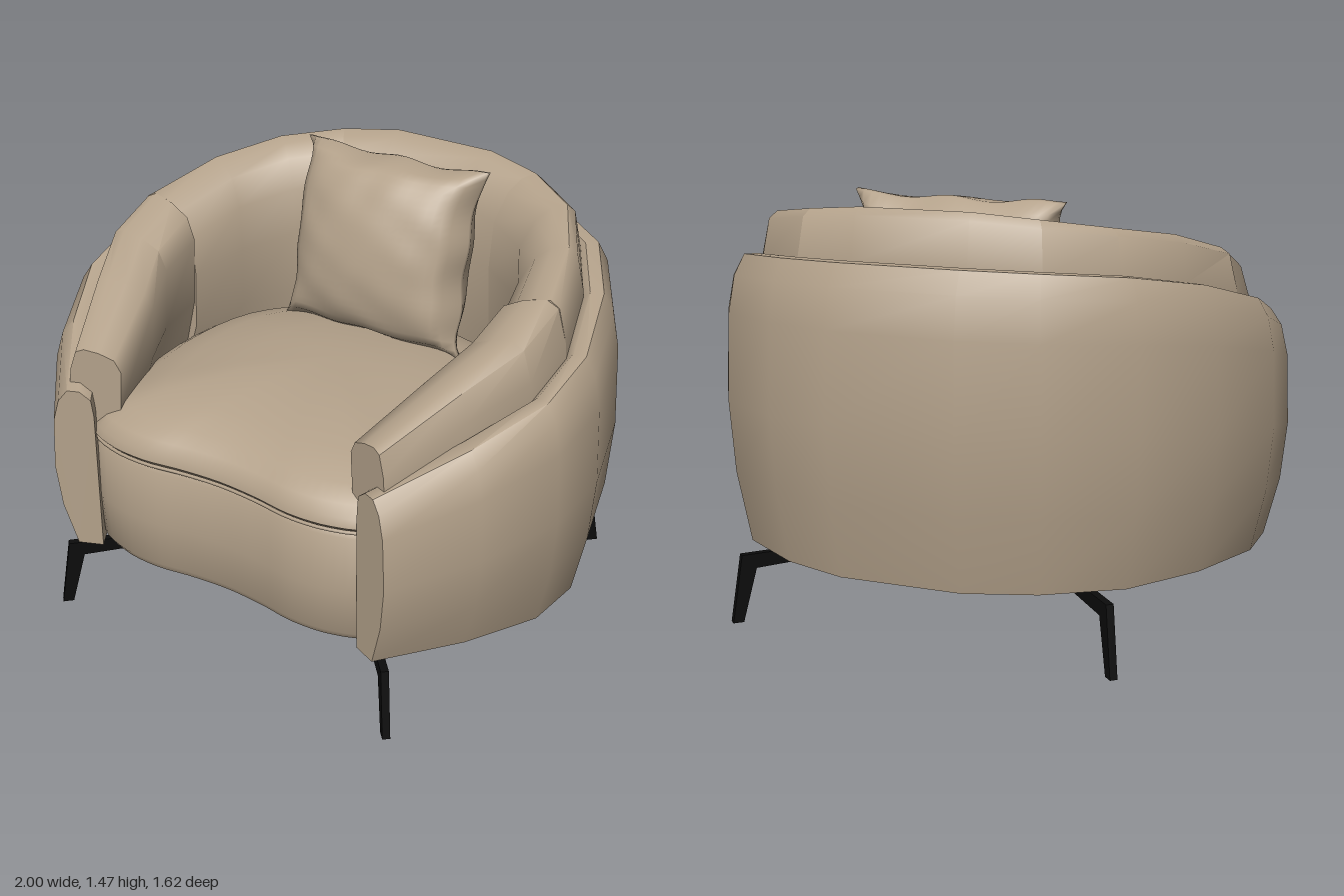
import * as THREE from 'three';
import { mergeVertices, toCreasedNormals } from 'three/addons/utils/BufferGeometryUtils.js';

const fabric = new THREE.MeshStandardMaterial({ color: 0xb3a18a });
fabric.name = 'beigeFabric';
const metal = new THREE.MeshStandardMaterial({ color: 0x0c0c0c });
metal.name = 'blackMetal';

// Skins a row of closed cross-sections, with optional end caps
function skin(rows, caps, crease = 0.8) {
  const n = rows[0].length, pos = [], idx = [];
  rows.forEach(r => r.forEach(p => pos.push(...p)));
  for (let s = 0; s < rows.length - 1; s++) {
    for (let p = 0; p < n; p++) {
      const q = (p + 1) % n, a = s * n, b = a + n;
      idx.push(a + p, b + p, b + q, a + p, b + q, a + q);
    }
  }
  if (caps) {
    const e = (rows.length - 1) * n;
    for (let k = 1; k < n - 1; k++) idx.push(0, k, k + 1, e, e + k + 1, e + k);
  }
  const g = new THREE.BufferGeometry();
  g.setAttribute('position', new THREE.Float32BufferAttribute(pos, 3));
  g.setIndex(idx);
  return toCreasedNormals(g, crease);
}

// Upright wall: station = [outerX, outerZ, innerX, innerZ, top], profile = [across, height]
function wall(stations, profile, bottom) {
  return skin(stations.map(([ox, oz, ix, iz, top]) => profile.map(([u, h]) =>
    [ox + (ix - ox) * u, bottom + (top - bottom) * h, oz + (iz - oz) * u])), true);
}
const mirrored = st => st.map(([a, b, c, d, e]) => [-a, b, -c, d, e]).reverse();

export function createModel() {
  const model = new THREE.Group();
  const add = (name, geometry, material = fabric) => {
    const mesh = new THREE.Mesh(geometry, material);
    mesh.name = name;
    model.add(mesh);
    return mesh;
  };

  // Outer wraparound shell
  const shell = [
    [0.67, 0.80, 0.53, 0.74, 0.85], [0.87, 0.56, 0.70, 0.47, 0.96],
    [0.99, 0.30, 0.83, 0.25, 1.05], [1.00, 0.06, 0.84, 0.06, 1.12],
    [0.90, -0.26, 0.75, -0.20, 1.20], [0.73, -0.54, 0.61, -0.43, 1.25],
    [0.47, -0.72, 0.41, -0.57, 1.27], [0.22, -0.81, 0.20, -0.64, 1.28],
  ];
  const shellProfile = [[0.42, 0], [0.12, 0.25], [0, 0.5], [0.06, 0.8], [0.2, 0.93],
    [0.42, 1], [0.7, 1], [0.95, 0.95], [1, 0.85], [1, 0]];
  add('outerShell', wall([...shell, ...mirrored(shell)], shellProfile, 0.255));

  // Inner padding: two flat-topped arm pads, then side and back pads with a sloped inner face
  const pad = [
    [0.63, 0.74, 0.46, 0.67, 0.99], [0.76, 0.48, 0.54, 0.40, 1.12],
    [0.86, 0.26, 0.60, 0.25, 1.21], [0.87, 0.06, 0.61, 0.08, 1.28],
    [0.78, -0.22, 0.56, -0.13, 1.35], [0.64, -0.46, 0.46, -0.31, 1.39],
    [0.43, -0.60, 0.31, -0.40, 1.42], [0.20, -0.66, 0.17, -0.44, 1.44],
  ];
  const armProfile = [[0, 0], [0, 0.6], [0.04, 0.8], [0.16, 0.97], [0.32, 1], [0.6, 0.975],
    [0.88, 0.92], [1, 0.81], [0.95, 0.45], [0.65, 0]];
  const backProfile = [[0, 0], [0, 0.6], [0.04, 0.8], [0.15, 0.97], [0.27, 1], [0.5, 0.985],
    [0.72, 0.935], [0.94, 0.81], [1, 0.6], [0.96, 0.3], [0.7, 0]];
  const arm = pad.slice(0, 4), side = pad.slice(3, 7), back = pad.slice(6);
  const padPiece = (name, stations, profile) => add(name, wall(stations, profile, 0.6));
  padPiece('leftArmPad', arm, armProfile);
  padPiece('rightArmPad', mirrored(arm), armProfile);
  padPiece('leftSidePad', side, backProfile);
  padPiece('rightSidePad', mirrored(side), backProfile);
  padPiece('backPad', [...back, ...mirrored(back)], backProfile);

  // Seat plan with a softly waved front edge
  const half = [[0, 0.745], [0.15, 0.755], [0.3, 0.775], [0.45, 0.76], [0.57, 0.70],
    [0.64, 0.45], [0.68, 0.1], [0.62, -0.2], [0.42, -0.42], [0.2, -0.5], [0, -0.52]];
  const plan = [...half, ...half.slice(1, -1).reverse().map(([x, z]) => [-x, z])];
  const curve = new THREE.CatmullRomCurve3(plan.map(([x, z]) => new THREE.Vector3(x, 0, z)), true);
  const outline = curve.getPoints(72);
  const rings = profile => skin(outline.map(p => profile.map(([s, y]) =>
    [p.x * s, y, 0.1 + (p.z - 0.1) * s])), false, 0.9);
  add('seatBase', rings([[0, 0.262], [0.96, 0.262], [0.985, 0.29], [0.995, 0.45],
    [0.99, 0.65], [0.97, 0.67], [0, 0.67]]));
  add('seatCushion', rings([[0, 0.67], [0.97, 0.67], [1, 0.69], [0.99, 0.72], [0.95, 0.755],
    [0.87, 0.79], [0.7, 0.83], [0.4, 0.865], [0.15, 0.875], [0, 0.875]]));

  // Piping around the seat
  const piping = new THREE.CatmullRomCurve3(
    outline.slice(0, -1).map(p => new THREE.Vector3(p.x * 0.99, 0.673, 0.1 + (p.z - 0.1) * 0.99)), true);
  add('seatPiping', new THREE.TubeGeometry(piping, 100, 0.007, 6, true));

  // Underside panel
  const under = add('undersidePanel', new THREE.CylinderGeometry(1, 1, 0.03, 40));
  under.scale.set(0.86, 1, 0.68);
  under.position.set(0, 0.268, 0);

  // Throw pillow: a grid puffed in the middle, pinched at the edges, with pointed corners
  let puff = new THREE.BoxGeometry(2, 2, 2, 24, 24, 1);
  puff.deleteAttribute('uv');
  puff.deleteAttribute('normal');
  puff = mergeVertices(puff);
  const v = puff.attributes.position;
  for (let i = 0; i < v.count; i++) {
    const x = v.getX(i), y = v.getY(i), z = v.getZ(i);
    const edge = Math.max(Math.abs(x), Math.abs(y));
    const fold = edge ** 4 * 0.007;
    const body = Math.pow(Math.max(0, (1 - x * x) * (1 - y * y)), 0.42);
    const crease = 0.008 * Math.sin(x * 9 + y * 4) * Math.sin(y * 8 - x * 3) * edge;
    v.setXYZ(i,
      x * 0.37 * (1 - 0.1 * (1 - y ** 6)) + fold * Math.sin(y * 9),
      y * 0.328 * (1 - 0.04 * (1 - x ** 6)) + fold * Math.sin(x * 8 + 1),
      z * (0.008 + 0.17 * body + crease * body) + fold * Math.sin(x * 7 + y * 6));
  }
  puff.computeVertexNormals();
  const pillow = add('throwPillow', puff);
  pillow.position.set(-0.04, 1.143, -0.27);
  pillow.rotation.set(-0.24, 0, 0.01);

  // Crossed metal base: four tapering arms with splayed feet
  const legShape = new THREE.Shape([[0, 0.255], [0.955, 0.237], [0.992, 0], [0.955, 0],
    [0.905, 0.187], [0, 0.235]].map(([x, y]) => new THREE.Vector2(x, y)));
  const legGeo = new THREE.ExtrudeGeometry(legShape, { depth: 0.026, bevelEnabled: false });
  legGeo.translate(0, 0, -0.013);
  ['frontLeftLeg', 'frontRightLeg', 'backRightLeg', 'backLeftLeg'].forEach((name, i) => {
    const leg = add(name, legGeo, metal);
    const sx = i === 0 || i === 3 ? 1 : -1, sz = i < 2 ? 1 : -1;
    leg.rotation.y = Math.atan2(-sz * 0.715, sx * 0.685);
    leg.position.z = 0.085;
  });

  return model;
}
